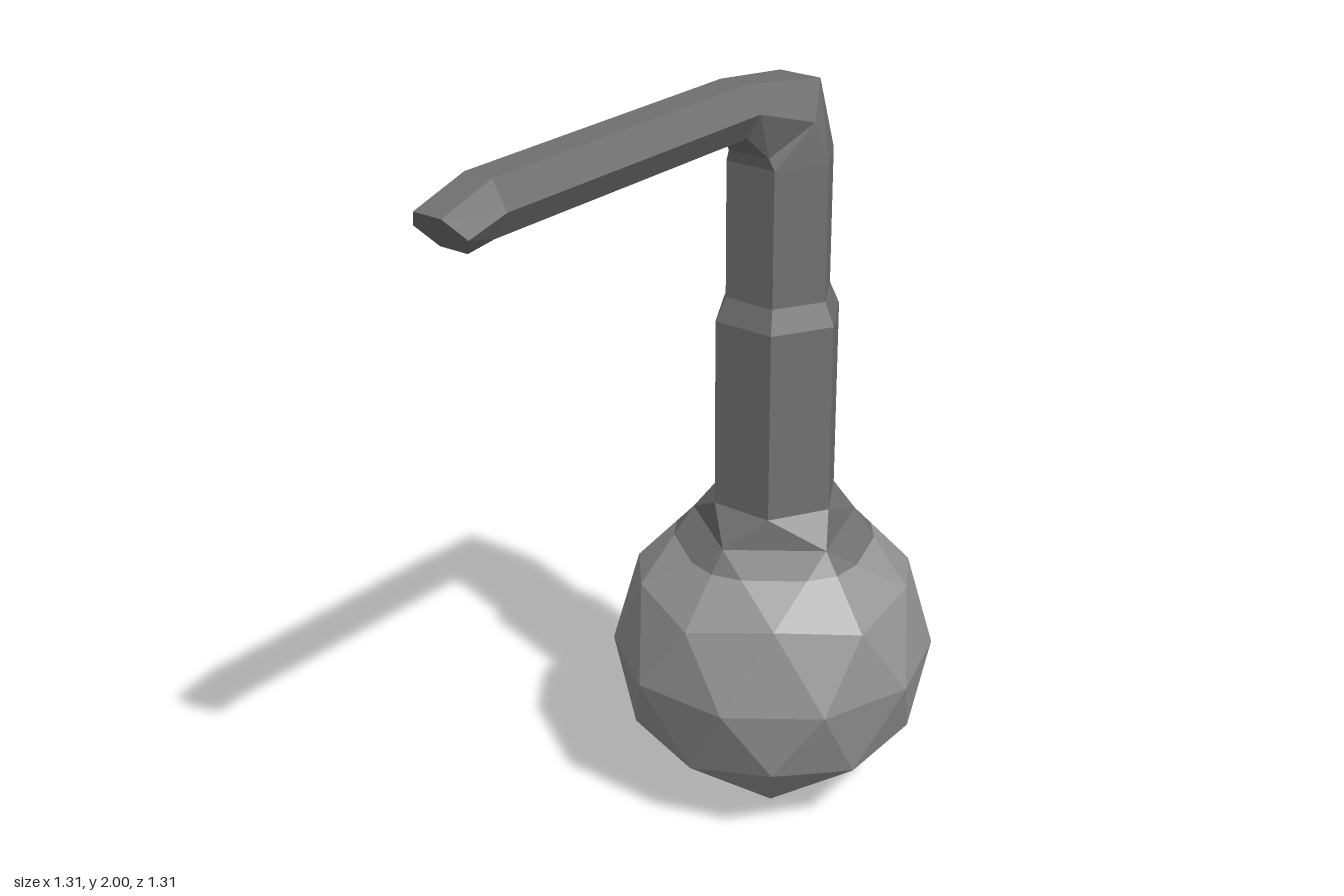
import * as THREE from 'three';
import { ConvexGeometry } from 'three/addons/geometries/ConvexGeometry.js';

const ballGrey = new THREE.MeshStandardMaterial({ color: 0x949494, flatShading: true });
ballGrey.name = 'light grey';
const pipeGrey = new THREE.MeshStandardMaterial({ color: 0x707070, flatShading: true });
pipeGrey.name = 'dark grey';

const BALL_Y = 0.43, BALL_R = 0.425, CUT_Y = 0.74, NECK_Y = 0.87;

// Hexagon ring: centre (y, z), offset (oy, oz) to its outer flat, half width r along x
function hexRing([y, z, oy, oz, r]) {
  return Array.from({ length: 6 }, (_, k) => {
    const a = (k * Math.PI) / 3;
    const h = Math.sin(a) / Math.sin(Math.PI / 3);
    return new THREE.Vector3(Math.cos(a) * r, y + oy * h, z + oz * h);
  });
}

// Skin a list of rings and cap the last one
function skin(rings) {
  const pos = [];
  const tri = (...pts) => pts.forEach((p) => pos.push(p.x, p.y, p.z));
  for (let i = 0; i + 1 < rings.length; i++) {
    for (let k = 0; k < 6; k++) {
      const n = (k + 1) % 6;
      tri(rings[i][k], rings[i][n], rings[i + 1][n]);
      tri(rings[i][k], rings[i + 1][n], rings[i + 1][k]);
    }
  }
  const end = rings[rings.length - 1];
  for (let k = 1; k < 5; k++) tri(end[0], end[k], end[k + 1]);
  const g = new THREE.BufferGeometry();
  g.setAttribute('position', new THREE.Float32BufferAttribute(pos, 3));
  g.computeVertexNormals();
  return g;
}

// Faceted ball corners with a corner at the pole, plus the points where its edges cross CUT_Y
function ballPoints() {
  const g = new THREE.IcosahedronGeometry(BALL_R, 1);
  g.rotateX(-Math.atan((1 + Math.sqrt(5)) / 2));
  g.translate(0, BALL_Y, 0);
  const p = g.attributes.position;
  const corners = new Map(), cuts = new Map();
  const add = (map, v) => map.set(v.toArray().map((c) => Math.round(c * 1000)).join(), v);
  for (let t = 0; t < p.count; t += 3) {
    for (let k = 0; k < 3; k++) {
      const a = new THREE.Vector3().fromBufferAttribute(p, t + k);
      const b = new THREE.Vector3().fromBufferAttribute(p, t + ((k + 1) % 3));
      add(corners, a);
      if (a.y < CUT_Y && b.y > CUT_Y) add(cuts, a.clone().lerp(b, (CUT_Y - a.y) / (b.y - a.y)));
    }
  }
  return { corners: [...corners.values()], cuts: [...cuts.values()] };
}

export function createModel() {
  const model = new THREE.Group();
  model.name = 'ballWithBentPipe';
  // Local +z is the direction of the arm
  const body = new THREE.Group();
  body.name = 'body';
  body.position.set(0.231, 0, -0.231);
  body.rotation.y = -Math.PI / 4;
  model.add(body);

  const add = (name, geometry, material) => {
    const mesh = new THREE.Mesh(geometry, material);
    mesh.name = name;
    body.add(mesh);
  };

  const { corners, cuts } = ballPoints();
  const pentagon = corners.filter((v) => v.y > CUT_Y && v.y < BALL_Y + BALL_R * 0.95);

  // Column, elbow, arm and drooping tip as one run of hexagons
  const column = (y, r) => [y, 0, 0, -r * 0.866, r];
  const rings = [
    column(NECK_Y, 0.169),
    column(1.37, 0.169),
    column(1.43, 0.142),
    column(1.78, 0.142),
    [1.885, 0.027, 0.075, -0.103, 0.118],
    [1.935, 0.19, 0.065, 0, 0.077],
    [1.935, 1.06, 0.065, 0, 0.077],
    [1.908, 1.177, 0.047, 0.036, 0.077],
  ].map(hexRing);

  add('ball', new ConvexGeometry([...corners.filter((v) => v.y < CUT_Y), ...cuts]), ballGrey);
  add('shoulder', new ConvexGeometry([...cuts, ...pentagon]), pipeGrey);
  add('neck', new ConvexGeometry([...pentagon, ...rings[0]]), pipeGrey);
  add('bentPipe', skin(rings), pipeGrey);

  return model;
}
